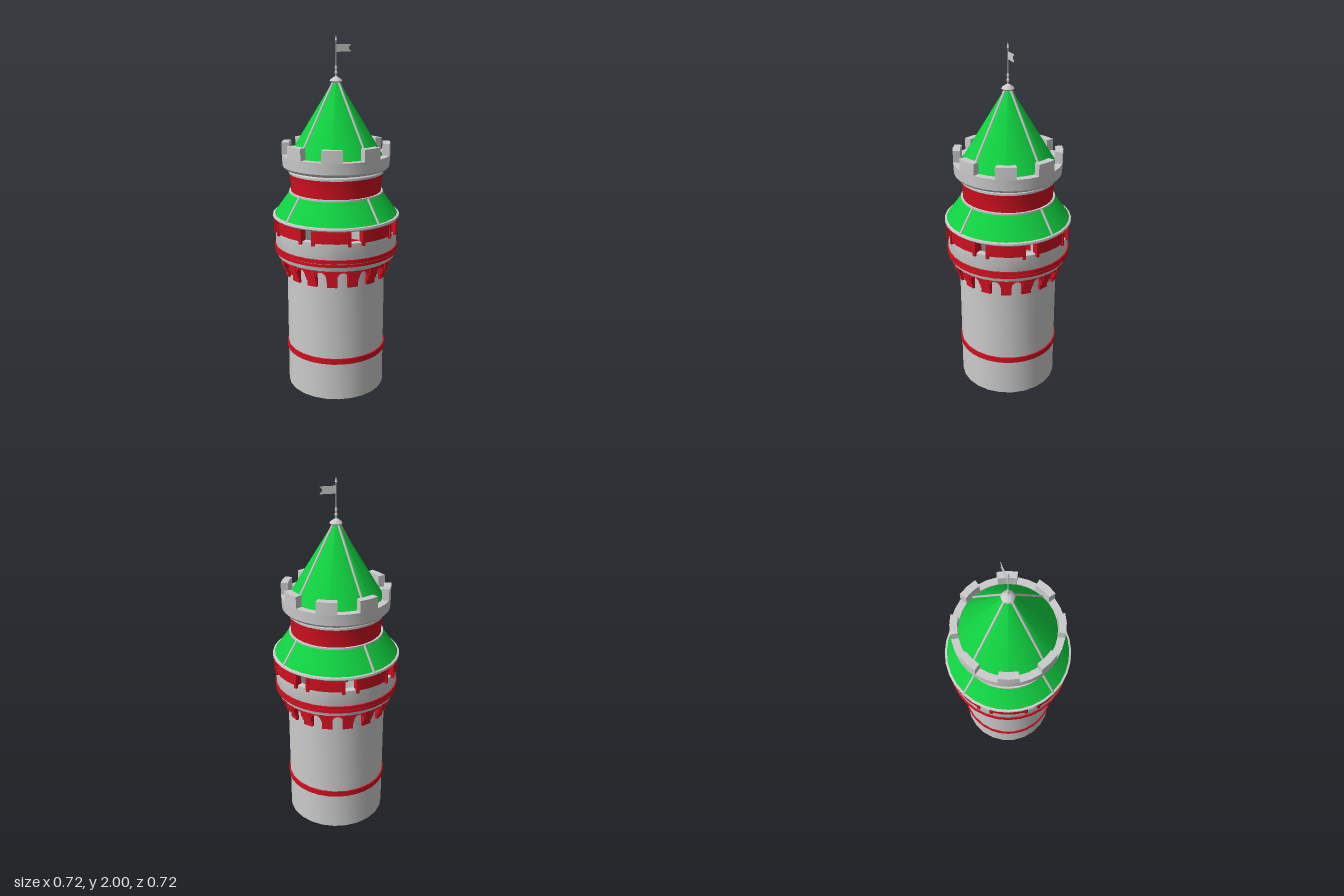
import * as THREE from 'three';
import { mergeGeometries, toCreasedNormals } from 'three/addons/utils/BufferGeometryUtils.js';

const material = (color) => new THREE.MeshStandardMaterial({ color, side: THREE.DoubleSide });

export function createModel() {
  const tower = new THREE.Group();
  tower.name = 'tower';
  const grey = material(0xcccccc), red = material(0xd01020), green = material(0x10d040);

  const add = (name, geometry, mat) => {
    const mesh = new THREE.Mesh(geometry, mat);
    mesh.name = name;
    tower.add(mesh);
    return mesh;
  };
  const crease = (g) => toCreasedNormals(g, 0.5);

  // Turned part from [radius, height] pairs, bottom to top
  const turned = (name, pairs, mat, sides = 32) =>
    add(name, crease(new THREE.LatheGeometry(pairs.map(([r, y]) => new THREE.Vector2(r, y)), sides)), mat);

  // Closed ring with a rectangular section
  const ring = (name, r0, r1, y0, y1, mat) =>
    turned(name, [[r0, y0], [r1, y0], [r1, y1], [r0, y1], [r0, y0]], mat);

  // Bends a geometry around the axis: x is the angle, z the radius
  const bend = (g) => {
    const p = g.attributes.position;
    for (let i = 0; i < p.count; i++) {
      const a = p.getX(i), r = p.getZ(i);
      p.setXYZ(i, r * Math.sin(a), p.getY(i), r * Math.cos(a));
    }
    return crease(g);
  };
  const arcBlock = (a, half, r0, r1, y0, y1) => {
    const segments = Math.max(1, Math.round(half * 10));
    const g = new THREE.BoxGeometry(half * 2, y1 - y0, r1 - r0, segments, 1, 1);
    return bend(g.translate(a, (y0 + y1) / 2, (r0 + r1) / 2));
  };
  const around = (n, make, offset = 0) =>
    mergeGeometries(Array.from({ length: n }, (_, i) => make(offset + (i * 2 * Math.PI) / n)));

  // Shaft
  turned('shaftWall', [[0.28, 0], [0.28, 0.8]], grey, 24);
  ring('shaftBand', 0.275, 0.287, 0.22, 0.252, red);

  // Stepped brackets below the gallery
  const step = new THREE.Shape();
  step.moveTo(0.27, 0.68);
  [[0.292, 0.68], [0.292, 0.71], [0.304, 0.715], [0.304, 0.74], [0.317, 0.745], [0.317, 0.785], [0.27, 0.785]]
    .forEach(([r, y]) => step.lineTo(r, y));
  add('brackets', around(16, (a) => {
    const g = new THREE.ExtrudeGeometry(step, { depth: 0.056, bevelEnabled: false });
    return crease(g.translate(0, 0, -0.028).rotateY(a - Math.PI / 2));
  }), red);

  // Small arches between the brackets
  const bay = Math.PI / 16, gap = 0.1;
  add('bracketArches', around(16, (a) => {
    const s = new THREE.Shape();
    s.moveTo(-bay, 0.735);
    s.lineTo(-gap, 0.735);
    for (let i = 1; i <= 8; i++) {
      const t = Math.PI * (1 - i / 8);
      s.lineTo(gap * Math.cos(t), 0.738 + 0.034 * Math.sin(t));
    }
    s.lineTo(bay, 0.735);
    s.lineTo(bay, 0.785);
    s.lineTo(-bay, 0.785);
    const g = new THREE.ExtrudeGeometry(s, { depth: 0.034, bevelEnabled: false });
    return bend(g.translate(a, 0, 0.279));
  }, bay), red);

  // Gallery wall with a walkway opening row above it
  turned('galleryWall', [[0.28, 0.782], [0.32, 0.782], [0.333, 0.79], [0.338, 0.81], [0.342, 0.82],
    [0.342, 0.945], [0.305, 0.945], [0.305, 0.79]], grey);
  ring('galleryLowerBand', 0.335, 0.347, 0.815, 0.83, red);
  ring('galleryUpperBand', 0.335, 0.349, 0.834, 0.855, red);
  add('galleryMerlons', around(8, (a) => arcBlock(a, Math.PI / 8 - 0.09, 0.31, 0.35, 0.945, 1.012), Math.PI / 8), red);
  add('openingJambs', around(8, (a) => mergeGeometries([-1, 1].map((s) =>
    arcBlock(a + s * 0.11, 0.022, 0.335, 0.354, 0.93, 1.012)))), red);

  // Skirt roof with its rim
  turned('skirtRoof', [[0.35, 1.025], [0.258, 1.155]], green);
  turned('skirtRim', [[0.3, 1.012], [0.35, 1.012], [0.358, 1.02], [0.356, 1.03], [0.345, 1.032]], grey);
  ring('skirtCollar', 0.245, 0.263, 1.15, 1.16, grey);

  // Neck
  turned('neckWall', [[0.252, 1.155], [0.253, 1.21], [0.26, 1.265]], red);
  turned('neckTrim', [[0.25, 1.258], [0.264, 1.262], [0.264, 1.274], [0.256, 1.28], [0.272, 1.29]], grey);

  // Battlement
  turned('parapet', [[0.255, 1.288], [0.285, 1.288], [0.297, 1.302], [0.3, 1.365], [0.26, 1.365], [0.26, 1.3]], grey);
  add('battlementMerlons', around(8, (a) => arcBlock(a, 0.19, 0.26, 0.3, 1.36, 1.43), Math.PI / 8), grey);

  // Spire
  turned('spireRoof', [[0.264, 1.35], [0.012, 1.765]], green);

  // Ribs on both roofs
  const rib = (name, a, r0, y0, r1, y1) => {
    const p = (r, y) => new THREE.Vector3(r * Math.sin(a), y, r * Math.cos(a));
    add(name, new THREE.TubeGeometry(new THREE.LineCurve3(p(r0, y0), p(r1, y1)), 1, 0.007, 6), grey);
  };
  for (let i = 0; i < 4; i++) {
    const a = Math.PI / 8 + (i * Math.PI) / 2;
    rib('skirtRib', a, 0.35, 1.027, 0.258, 1.157);
    rib('spireRib', a, 0.262, 1.355, 0.014, 1.765);
  }

  // Finial, pole and pennant
  turned('finialCap', [[0, 1.75], [0.03, 1.753], [0.035, 1.76], [0.03, 1.768], [0.01, 1.782], [0, 1.784]], grey, 16);
  turned('flagPole', [[0.007, 1.775], [0.004, 1.79], [0.009, 1.803], [0.004, 1.816], [0.008, 1.828], [0.0035, 1.842],
    [0.003, 1.965], [0.007, 1.972], [0, 2]], grey, 8);
  const flag = new THREE.Shape();
  flag.moveTo(0.002, 1.912);
  [[0.087, 1.912], [0.07, 1.932], [0.087, 1.952], [0.002, 1.952]].forEach(([x, y]) => flag.lineTo(x, y));
  add('pennant', new THREE.ExtrudeGeometry(flag, { depth: 0.002, bevelEnabled: false }).translate(0, 0, -0.001), grey);

  return tower;
}
